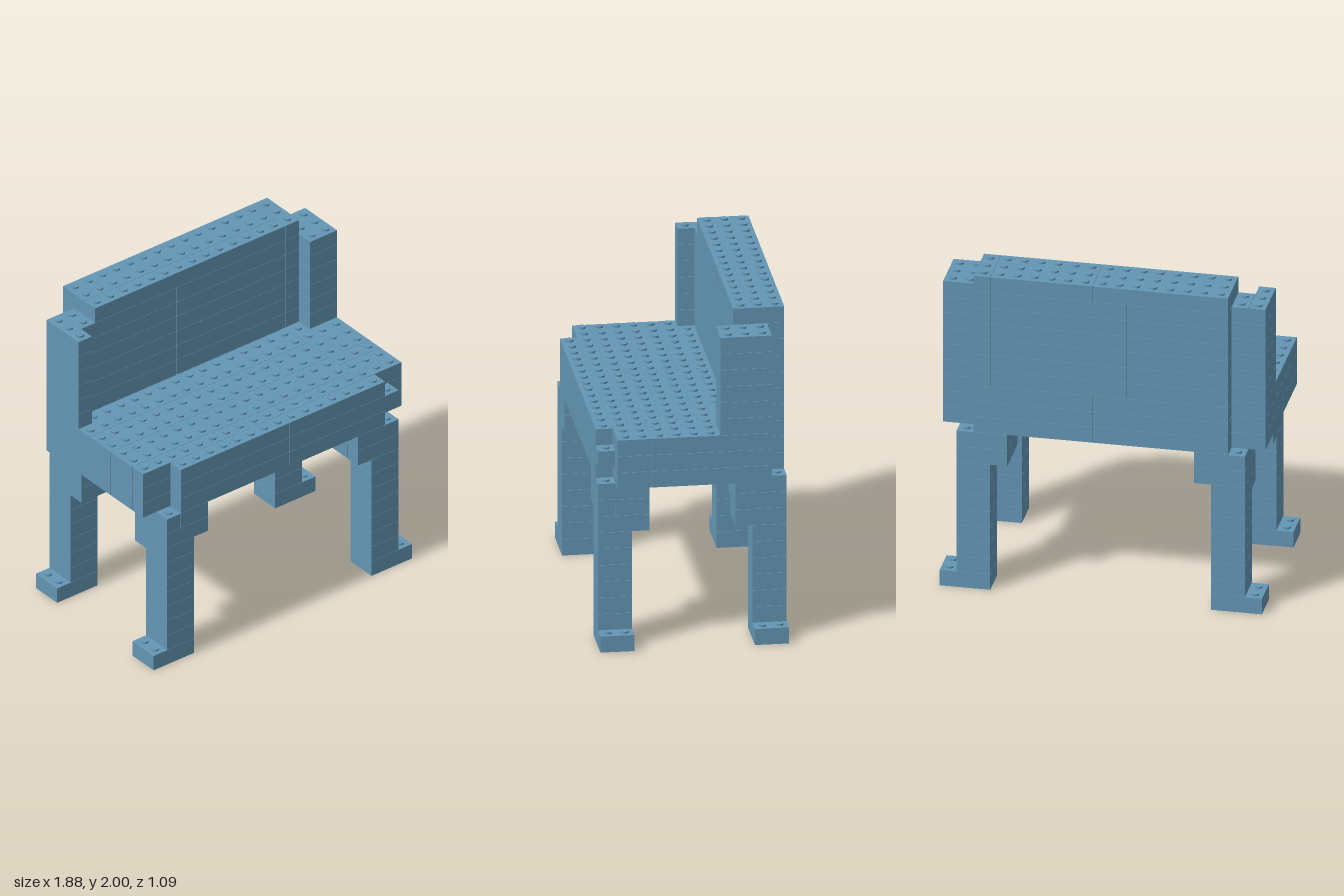
import * as THREE from 'three';
import { mergeGeometries } from 'three/addons/utils/BufferGeometryUtils.js';

// Brick grid: 19 columns (x), 11 rows (z, from the back), 20 layers (y)
const U = 0.0991, H = 0.0994, COLS = 19, ROWS = 11, GAP = 0.0008;
const STUD_R = 0.023, STUD_H = 0.012;
const gx = i => (i - COLS / 2) * U;
const gz = j => (j - ROWS / 2) * U;

export function createModel() {
  const model = new THREE.Group();
  model.name = 'brickBench';
  const blue = new THREE.MeshStandardMaterial({ color: 0x6496b4 });
  blue.name = 'dusty blue';
  const filled = new Map();
  const parts = {};

  // One brick covering columns i0..i1, rows j0..j1, layers k0..k1 (ends excluded)
  function brick(part, i0, i1, j0, j1, k0, k1 = k0 + 1) {
    const g = new THREE.BoxGeometry((i1 - i0) * U - 2 * GAP, (k1 - k0) * H - 2 * GAP, (j1 - j0) * U - 2 * GAP);
    g.translate((gx(i0) + gx(i1)) / 2, (k0 + k1) / 2 * H, (gz(j0) + gz(j1)) / 2);
    (parts[part] ??= []).push(g);
    for (let i = i0; i < i1; i++)
      for (let j = j0; j < j1; j++)
        for (let k = k0; k < k1; k++) filled.set(`${i},${j},${k}`, [i, j, k, part]);
  }

  // Legs, mirrored to the four corners
  for (const left of [false, true]) {
    for (const front of [false, true]) {
      const name = (front ? 'front' : 'back') + (left ? 'Left' : 'Right') + 'Leg';
      const put = (i0, i1, j0, j1, k) => {
        if (left) [i0, i1] = [COLS - i1, COLS - i0];
        if (front) [j0, j1] = [ROWS - j1, ROWS - j0];
        brick(name, i0, i1, j0, j1, k);
      };
      put(0, 3, 0, 2, 0); // foot
      for (let k = 1; k < 7; k++) put(1, 3, 0, 2, k); // post
      put(1, 3, 0, 3, 7); // stepped bracket
      put(1, 4, 0, 1, 8);
      put(1, 4, 1, 3, 8);
      put(1, 2, 0, 3, 9);
      put(2, 4, 0, 3, 9);
    }
  }

  // Seat: three layers with notched corners
  for (let k = 10; k < 13; k++) {
    for (const j of [0, 10]) {
      brick('seat', 2, 10, j, j + 1, k);
      brick('seat', 10, 17, j, j + 1, k);
    }
    for (const [j0, j1] of [[1, 3], [3, 5], [5, 7], [7, 9], [9, 10]]) {
      brick('seat', 0, 8, j0, j1, k);
      brick('seat', 8, 16, j0, j1, k);
    }
    brick('seat', 16, 17, 1, 8, k);
    brick('seat', 17, 19, 1, 7, k);
    brick('seat', 17, 19, 7, 8, k);
    brick('seat', 16, 19, 8, 10, k);
  }
  brick('cornerBlock', 17, 18, 10, 11, 11);

  // Backrest wall with side pillars
  for (let k = 13; k < 19; k++) {
    brick('backrest', 2, 8, 0, 3, k);
    brick('backrest', 8, 16, 0, 3, k);
    brick('backrest', 16, 17, 0, 3, k);
    brick('rightPillar', 0, 1, 1, 4, k);
    brick('rightPillar', 1, 2, 1, 3, k);
    brick('leftPillar', 17, 19, 1, 4, k);
  }

  // Top rail
  brick('topRail', 2, 10, 0, 2, 19);
  brick('topRail', 2, 10, 2, 3, 19);
  brick('topRail', 10, 16, 0, 2, 19);
  brick('topRail', 10, 16, 2, 3, 19);
  brick('topRail', 16, 17, 0, 3, 19);

  // Studs on every uncovered cell
  const stud = new THREE.CylinderGeometry(STUD_R, STUD_R, STUD_H, 16);
  for (const [i, j, k, part] of filled.values()) {
    if (filled.has(`${i},${j},${k + 1}`)) continue;
    parts[part].push(stud.clone().translate(gx(i + 0.5), (k + 1) * H + STUD_H / 2 - GAP, gz(j + 0.5)));
  }

  for (const [name, geometries] of Object.entries(parts)) {
    const mesh = new THREE.Mesh(mergeGeometries(geometries), blue);
    mesh.name = name;
    model.add(mesh);
  }
  return model;
}
